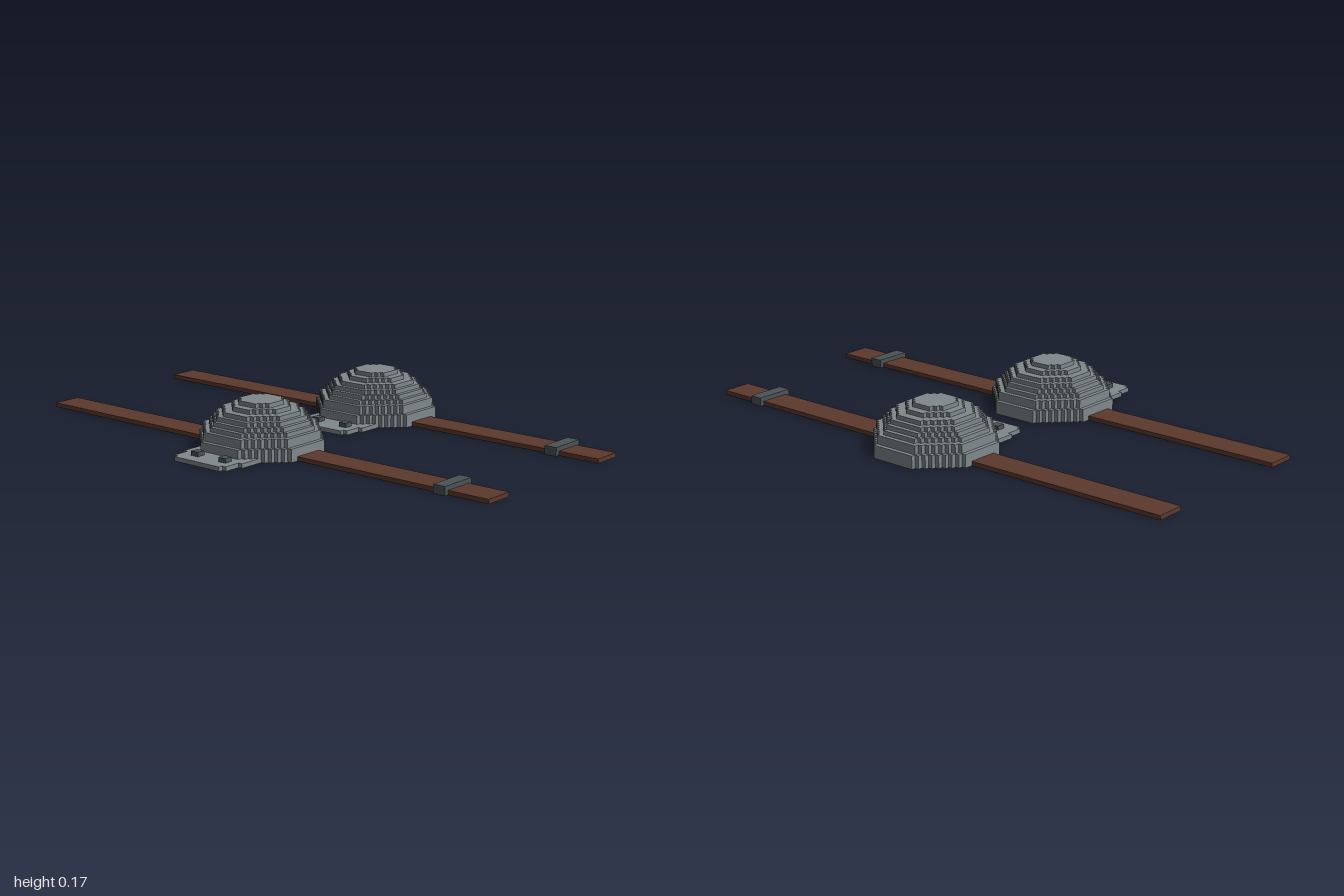
import * as THREE from 'three';

const V = 1 / 63; // edge of one cell
const mat = (name, color) => new THREE.MeshStandardMaterial({ name, color });

export function createModel() {
  const steel = mat('steel grey', 0x80898c);
  const iron = mat('dark iron', 0x4a5356);
  const leather = mat('brown leather', 0x5c3a2d);

  // Box given by its lower and upper corners, in cells
  function box(parent, name, material, [x0, y0, z0], [x1, y1, z1]) {
    const mesh = new THREE.Mesh(new THREE.BoxGeometry((x1 - x0) * V, (y1 - y0) * V, (z1 - z0) * V), material);
    mesh.position.set((x0 + x1) * V / 2, (y0 + y1) * V / 2, (z0 + z1) * V / 2);
    mesh.name = name;
    parent.add(mesh);
  }

  // Octagonal slab with stepped diagonal edges
  function octagonSlab(r, height) {
    const limit = Math.round(r * 1.4);
    const right = [];
    for (let k = -r; k <= r; k++) {
      const half = Math.min(r, limit - Math.abs(k)) + 0.5;
      right.push([half, k - 0.5], [half, k + 0.5]);
    }
    const left = right.map(([x, y]) => [-x, y]).reverse();
    const shape = new THREE.Shape([...right, ...left].map(([x, y]) => new THREE.Vector2(x * V, y * V)));
    return new THREE.ExtrudeGeometry(shape, { depth: height * V, bevelEnabled: false }).rotateX(-Math.PI / 2);
  }

  function kneePad() {
    const pad = new THREE.Group();
    pad.name = 'pad';

    // Domed cup: [radius, layers] from the ground up
    const cup = new THREE.Group();
    cup.name = 'cup';
    let y = 0;
    for (const [r, h] of [[13, 3], [12, 2], [11, 1], [10, 1], [9, 1], [8, 1], [6, 1], [4, 1]]) {
      for (let i = 0; i < h; i++, y++) {
        const layer = new THREE.Mesh(octagonSlab(r, 1), steel);
        layer.name = 'cupLayer';
        layer.position.set(0, y * V, -0.5 * V);
        cup.add(layer);
      }
    }
    pad.add(cup);

    // Side flange with two rivets
    for (const [x0, x1, half] of [[-20.5, -19.5, 6.5], [-19.5, -15.5, 7.5], [-15.5, -10.5, 8.5]]) {
      box(pad, 'flange', steel, [x0, 0, -half - 0.5], [x1, 1, half - 0.5]);
    }
    for (const z of [-5, 3]) box(pad, 'rivet', iron, [-17.5, 1, z], [-15.5, 2, z + 2]);

    // Straps front and back
    box(pad, 'frontStrap', leather, [-3.5, 0, 13], [3.5, 1, 63]);
    box(pad, 'backStrap', leather, [-3.5, 0, -63], [3.5, 1, -14]);

    // Buckle bridging the front strap
    box(pad, 'buckleTop', iron, [-4.5, 1, 50], [4.5, 2, 53]);
    for (const x of [-4.5, 3.5]) box(pad, 'buckleSide', iron, [x, 0, 50], [x + 1, 1, 53]);
    return pad;
  }

  const model = new THREE.Group();
  model.name = 'strappedPads';
  for (const x of [-16.5, 23.5]) {
    const pad = kneePad();
    pad.position.x = x * V;
    model.add(pad);
  }
  return model;
}
